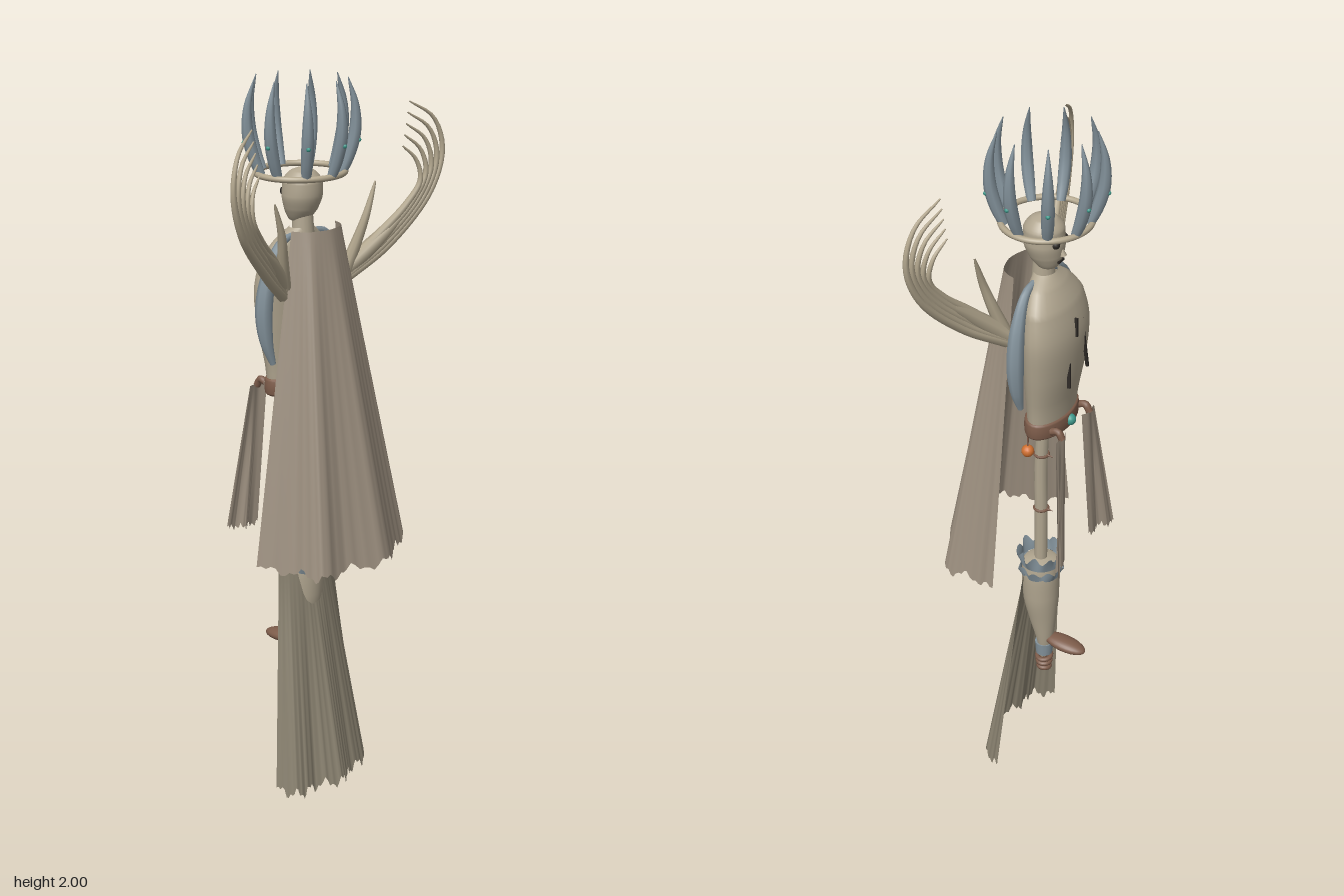
import * as THREE from 'three';
import { ParametricGeometry } from 'three/addons/geometries/ParametricGeometry.js';

const V = (x, y, z) => new THREE.Vector3(x, y, z);
const mat = (color, side = THREE.FrontSide) => new THREE.MeshStandardMaterial({ color, side });
const skin = mat(0xb0a58f), bone = mat(0xb3a78e), slate = mat(0x84939c), brown = mat(0x7d5c4a);
const dark = mat(0x2c2824), teal = mat(0x3f9a8c), orange = mat(0xd07030);
const cloakCloth = mat(0x9c8f7f, THREE.DoubleSide), skirtCloth = mat(0x8b8371, THREE.DoubleSide);
const slateCloth = mat(0x84939c, THREE.DoubleSide);

function add(parent, name, geometry, material, x = 0, y = 0, z = 0) {
  const mesh = new THREE.Mesh(geometry, material);
  mesh.name = name;
  mesh.position.set(x, y, z);
  parent.add(mesh);
  return mesh;
}

// Stack of ellipses, listed upward: [y, centre z, half width, half depth]
function loft(rows, sides = 28, steps = 28) {
  const mid = new THREE.CatmullRomCurve3(rows.map(r => V(0, r[0], r[1])));
  const size = new THREE.CatmullRomCurve3(rows.map(r => V(r[2], 0, r[3])));
  return new ParametricGeometry((u, v, out) => {
    const a = u * Math.PI * 2, c = mid.getPoint(v), s = size.getPoint(v);
    out.set(Math.cos(a) * s.x, c.y, c.z - Math.sin(a) * s.z);
  }, sides, steps);
}

// Round tube along a path, its radius following a function of 0..1
function taper(points, radius, segments = 24, sides = 8) {
  const curve = new THREE.CatmullRomCurve3(points.map(p => V(...p)));
  const geo = new THREE.TubeGeometry(curve, segments, 1, sides);
  const pos = geo.attributes.position, p = V();
  for (let k = 0; k < pos.count; k++) {
    const t = Math.floor(k / (sides + 1)) / segments, c = curve.getPointAt(t);
    p.fromBufferAttribute(pos, k).sub(c).multiplyScalar(Math.max(radius(t), 0.0008)).add(c);
    pos.setXYZ(k, p.x, p.y, p.z);
  }
  return geo;
}

// Hanging cloth between two [x, z] lines, with a ragged hem
function cloth(top, hem, yTop, yHem, rag, steps = 70) {
  const line = pts => new THREE.CatmullRomCurve3(pts.map(p => V(p[0], 0, p[1])));
  const a = line(top), b = line(hem);
  return new ParametricGeometry((u, v, out) => {
    const tear = rag * (0.5 + 0.3 * Math.sin(u * 53) + 0.2 * Math.sin(u * 131 + 1));
    out.lerpVectors(a.getPoint(u), b.getPoint(u), v);
    out.y = yTop + (yHem + tear - yTop) * v;
  }, steps, 24);
}

export function createModel() {
  const model = new THREE.Group();

  // Long cloak and the lower skirt behind the leg
  add(model, 'cloak', cloth(
    [[-.085, -.025], [-.075, 0], [-.06, .018], [-.03, .03], [0, .035], [.03, .03], [.06, .018], [.075, 0], [.085, -.025]],
    [[-.235, -.02], [-.185, .08], [-.17, .16], [-.075, .165], [.035, .205], [.135, .155], [.21, .12], [.205, .055], [.222, -.035]],
    1.62, .71, .035), cloakCloth);
  add(model, 'lowerSkirt', cloth(
    [[-.10, -.065], [-.07, -.05], [-.03, -.037], [0, -.035], [.03, -.032], [.07, -.045], [.11, -.06]],
    [[-.165, -.02], [-.14, .045], [-.07, .05], [0, .085], [.06, .06], [.14, .045], [.185, -.02]],
    .67, 0, .045), skirtCloth);

  // Two hanging panels at the waist
  for (const s of [-1, 1]) {
    add(model, 'waistPanel', cloth(
      [[s * .045, -.155], [s * .065, -.165], [s * .085, -.162], [s * .105, -.16]],
      [[s * .07, -.172], [s * .1, -.178], [s * .12, -.172], [s * .135, -.195], [s * .16, -.203]],
      1.18, .76, .025, 24), cloakCloth);
    add(model, 'panelTie', taper([[s * .075, 1.19, -.13], [s * .075, 1.195, -.15], [s * .075, 1.175, -.163]], () => .01, 8), brown);
  }

  // Torso, belt, neck and chest cracks
  add(model, 'torso', loft([[1.155, -.09, .03, .02], [1.17, -.09, .095, .046], [1.25, -.092, .105, .052],
    [1.35, -.098, .122, .062], [1.45, -.1, .132, .066], [1.53, -.092, .12, .058], [1.585, -.078, .08, .042],
    [1.615, -.068, .035, .028]]), skin);
  add(model, 'belt', loft([[1.165, -.09, .098, .047], [1.17, -.09, .106, .055], [1.19, -.09, .108, .057],
    [1.21, -.09, .106, .055], [1.215, -.09, .098, .047]], 32, 10), brown);
  add(model, 'neck', new THREE.CylinderGeometry(.025, .032, .1, 16), skin, 0, 1.62, -.062);
  for (const [x, y, z, h, tilt] of [[.035, 1.37, -.158, .11, .12], [-.04, 1.41, -.161, .15, -.1], [.01, 1.48, -.163, .05, .1]]) {
    add(model, 'chestCrack', new THREE.BoxGeometry(.006, h, .008), dark, x, y, z).rotation.set(.08, 0, tilt);
  }
  add(model, 'beltGem', new THREE.SphereGeometry(.016, 14, 10), teal, 0, 1.19, -.145);
  add(model, 'beltCord', new THREE.CylinderGeometry(.003, .003, .07, 6), brown, .075, 1.145, -.06);
  add(model, 'beltCharm', new THREE.SphereGeometry(.017, 14, 10), orange, .075, 1.105, -.06);

  // Head and face, looking towards -z
  const head = new THREE.Group();
  head.name = 'head';
  model.add(head);
  add(head, 'skull', loft([[1.622, -.075, .003, .003], [1.632, -.075, .027, .026], [1.66, -.069, .044, .044],
    [1.7, -.064, .055, .053], [1.735, -.063, .053, .052], [1.76, -.063, .034, .034], [1.772, -.063, .003, .003]]), skin);
  for (const s of [-1, 1]) {
    add(head, 'eye', new THREE.SphereGeometry(.012, 12, 8), dark, s * .022, 1.705, -.107);
  }
  add(head, 'nose', new THREE.ConeGeometry(.009, .03, 8), skin, 0, 1.682, -.114).rotation.x = .25;
  add(head, 'mouth', new THREE.BoxGeometry(.026, .006, .01), dark, 0, 1.652, -.109);

  // Crown: ring with nine blades that bow outward
  const crown = new THREE.Group();
  crown.name = 'crown';
  crown.position.z = -.07;
  model.add(crown);
  const ring = add(crown, 'crownRing', new THREE.TorusGeometry(.113, .008, 10, 56), bone, 0, 1.757, 0);
  ring.rotation.x = Math.PI / 2;
  ring.scale.x = 1.06;
  for (let i = 0; i < 9; i++) {
    const spike = new THREE.Group();
    spike.name = 'crownSpike';
    spike.rotation.y = i * Math.PI * 2 / 9;
    crown.add(spike);
    add(spike, 'blade', taper([[0, 1.755, .107], [0, 1.80, .125], [0, 1.86, .14], [0, 1.93, .14], [0, 2, .122]],
      t => .004 + .0135 * Math.sin(Math.PI * Math.min(1, .2 + t * .8)) - .003 * t), slate);
    add(spike, 'bladeGem', new THREE.SphereGeometry(.006, 8, 6), teal, 0, 1.84, .151);
  }

  // Slate arms and the large raised hands behind the shoulders
  const outer = [[.12, 1.455, -.025], [.24, 1.54, .03], [.365, 1.67, .07], [.402, 1.78, .08], [.375, 1.865, .07], [.3, 1.915, .045]];
  const inner = [[.13, 1.49, -.02], [.205, 1.57, .025], [.285, 1.645, .055], [.325, 1.705, .068], [.315, 1.76, .06], [.275, 1.80, .045]];
  for (const s of [-1, 1]) {
    const arm = [[.03, 1.6, -.06], [.085, 1.585, -.06], [.13, 1.51, -.062], [.148, 1.42, -.065], [.14, 1.33, -.065], [.118, 1.265, -.063]];
    add(model, 'arm', taper(arm.map(p => [s * p[0], p[1], p[2]]),
      t => .008 + .015 * Math.sin(Math.PI * Math.pow(t, 1.3))), slate);
    const hand = new THREE.Group();
    hand.name = 'raisedHand';
    model.add(hand);
    for (let i = 0; i < 5; i++) {
      const path = outer.map((p, k) => p.map((c, n) => (c + (inner[k][n] - c) * i / 4) * (n ? 1 : s)));
      add(hand, 'finger', taper(path, t => .002 + .013 * Math.pow(1 - t, .7), 32), bone);
    }
    add(hand, 'thumb', taper([[s * .12, 1.48, -.02], [s * .145, 1.56, 0], [s * .165, 1.63, .015], [s * .195, 1.715, .02]],
      t => .002 + .017 * Math.pow(1 - t, .7)), bone);
    add(hand, 'palm', taper([[s * .1, 1.455, -.04], [s * .15, 1.505, -.008], [s * .22, 1.57, .028], [s * .29, 1.63, .055]],
      t => .004 + .018 * Math.sin(Math.PI * (.15 + .85 * t))), bone);
  }

  // Single leg: thin thigh with thorns, cuff, calf, foot and ankle wraps
  add(model, 'thigh', taper([[0, 1.18, -.065], [0, 1.0, -.058], [0, .85, -.06], [0, .68, -.06]], () => .018, 20, 10), skin);
  for (const y of [1.05, .87]) {
    add(model, 'thighThorn', new THREE.ConeGeometry(.006, .025, 6), brown, 0, y, -.085).rotation.x = -Math.PI / 2;
    add(model, 'thighBand', new THREE.TorusGeometry(.019, .004, 6, 18), brown, 0, y, -.06).rotation.x = Math.PI / 2;
  }
  add(model, 'calf', loft([[.34, -.072, .012, .012], [.4, -.075, .024, .022], [.48, -.068, .038, .038],
    [.56, -.062, .052, .05], [.64, -.06, .055, .053], [.69, -.06, .05, .05], [.705, -.06, .004, .004]]), skin);
  for (const [y, r, h] of [[.685, .058, .045], [.645, .056, .035]]) {
    add(model, 'raggedCuff', new ParametricGeometry((u, v, out) => {
      const a = u * Math.PI * 2, w = 1 + .1 * v * Math.sin(a * 7 + y * 40);
      const rad = r * (.95 + .12 * v) * w;
      out.set(rad * Math.cos(a), y + h * v * (.85 + .25 * Math.sin(a * 9)), -.06 - rad * Math.sin(a));
    }, 56, 6), slateCloth);
  }
  const foot = add(model, 'foot', new THREE.SphereGeometry(1, 22, 14), brown, 0, .412, -.14);
  foot.scale.set(.03, .018, .066);
  foot.rotation.x = -.1;
  add(model, 'ankleWrap', new THREE.CylinderGeometry(.027, .024, .04, 14), slate, 0, .375, -.073);
  for (let i = 0; i < 3; i++) {
    add(model, 'ankleCoil', new THREE.TorusGeometry(.02 - i * .002, .007, 8, 20), brown, 0, .34 - i * .02, -.073)
      .rotation.set(Math.PI / 2, .15 * (i - 1), 0);
  }
  add(model, 'legPeg', new THREE.CylinderGeometry(.014, .008, .07, 10), brown, 0, .325, -.073);
  return model;
}
